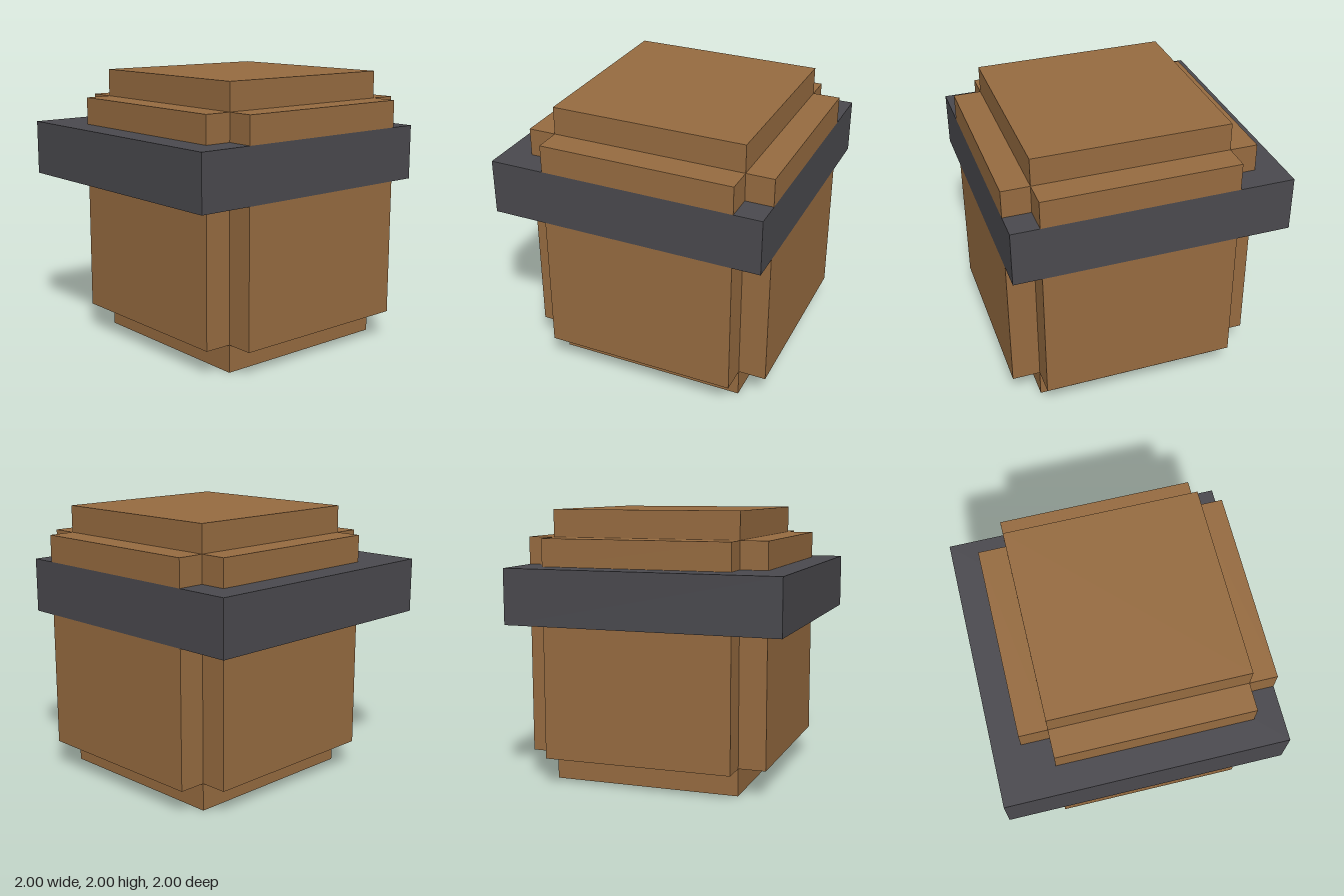
import * as THREE from 'three';

export function createModel() {
  const model = new THREE.Group();
  const wood = new THREE.MeshStandardMaterial({ color: 0x966b40 });
  wood.name = 'brown wood';
  const iron = new THREE.MeshStandardMaterial({ color: 0x4a494e });
  iron.name = 'dark iron';

  // Box given by its ranges along x, y and z
  function box(name, material, [x0, x1], [y0, y1], [z0, z1]) {
    const mesh = new THREE.Mesh(new THREE.BoxGeometry(x1 - x0, y1 - y0, z1 - z0), material);
    mesh.position.set((x0 + x1) / 2, (y0 + y1) / 2, (z0 + z1) / 2);
    mesh.name = name;
    model.add(mesh);
  }

  const narrow = [-0.6, 0.8];
  const wide = [-0.8, 1];

  // Full-height core
  box('barrelCore', wood, narrow, [0, 2], narrow);

  // Staves bulging out on all four sides, below and above the band
  for (const [level, height] of [['lower', [0.2, 1.2]], ['upper', [1.6, 1.8]]]) {
    for (const [side, range] of [['Front', [0.8, 1]], ['Back', [-0.8, -0.6]]]) {
      box(level + side + 'Stave', wood, narrow, height, range);
    }
    for (const [side, range] of [['Left', [wide[1] - 0.2, wide[1]]], ['Right', [wide[0], wide[0] + 0.2]]]) {
      box(level + side + 'Stave', wood, range, height, narrow);
    }
  }

  // Band around the barrel, flush with the front and left staves
  box('band', iron, [-1, 1], [1.2, 1.6], [-1, 1]);

  return model;
}
